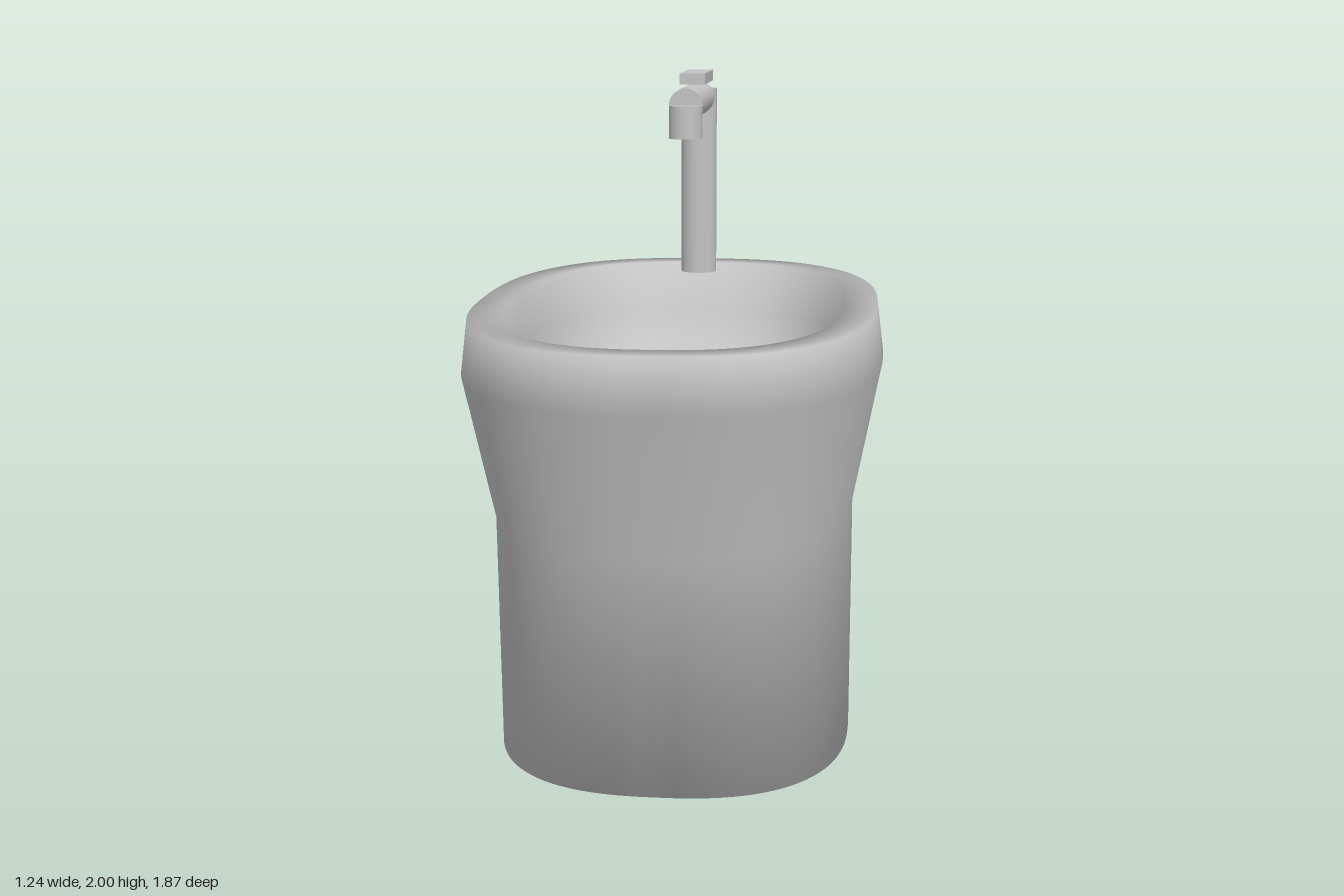
import * as THREE from 'three';

const porcelain = new THREE.MeshStandardMaterial({ color: 0xc4c4c4 });
porcelain.name = 'grey';

function add(group, name, geometry, x, y, z) {
  const mesh = new THREE.Mesh(geometry, porcelain);
  mesh.name = name;
  mesh.position.set(x, y, z);
  group.add(mesh);
  return mesh;
}

// Closed smooth skin through rounded-oval rings [y, halfWidth, halfDepth]
function ovalLoft(rings, sides, power) {
  const pos = [], index = [];
  const bend = (v) => Math.sign(v) * Math.pow(Math.abs(v), 2 / power);
  const last = rings.length - 1;
  for (const [y, rx, rz] of rings) {
    for (let j = 0; j < sides; j++) {
      const a = (j / sides) * Math.PI * 2;
      pos.push(rx * bend(Math.cos(a)), y, rz * bend(Math.sin(a)));
    }
  }
  const bottom = pos.length / 3, top = bottom + 1;
  pos.push(0, rings[0][0], 0, 0, rings[last][0], 0);
  for (let j = 0; j < sides; j++) {
    const k = (j + 1) % sides;
    index.push(bottom, j, k);
    for (let i = 0; i < last; i++) {
      const p = i * sides + j, q = i * sides + k;
      index.push(p, p + sides, q, q, p + sides, q + sides);
    }
    index.push(top, last * sides + k, last * sides + j);
  }
  const g = new THREE.BufferGeometry();
  g.setAttribute('position', new THREE.Float32BufferAttribute(pos, 3));
  g.setIndex(index);
  g.computeVertexNormals();
  return g;
}

export function createModel() {
  const model = new THREE.Group();
  model.name = 'pedestalBasin';

  // Basin: outer wall, rim, then down into the bowl
  add(model, 'basin', ovalLoft([
    [0, 0.535, 0.64],
    [0.74, 0.535, 0.77],
    [1.18, 0.62, 0.935],
    [1.34, 0.6, 0.935],
    [1.34, 0.505, 0.84],
    [1.18, 0.5, 0.8],
    [1.0, 0.42, 0.66],
    [0.68, 0.07, 0.07],
  ], 96, 2.52), 0, 0, 0);

  // Drain cover, nearly flush with the bottom of the bowl
  add(model, 'drain', new THREE.CylinderGeometry(0.075, 0.075, 0.008, 32), 0, 0.684, 0);

  // Tap
  const tap = new THREE.Group();
  tap.name = 'tap';
  model.add(tap);
  add(tap, 'column', new THREE.CylinderGeometry(0.058, 0.058, 0.603, 32), 0, 1.6415, -0.635);
  add(tap, 'spout', new THREE.CylinderGeometry(0.052, 0.052, 0.43, 32), 0, 1.912, -0.415)
    .rotation.x = Math.PI / 2;
  add(tap, 'nozzle', new THREE.CylinderGeometry(0.052, 0.052, 0.1, 32), 0, 1.862, -0.2);
  add(tap, 'leverNeck', new THREE.CylinderGeometry(0.025, 0.025, 0.04, 24), 0, 1.955, -0.635);
  add(tap, 'lever', new THREE.BoxGeometry(0.08, 0.035, 0.285), 0, 1.9825, -0.5425);

  return model;
}
